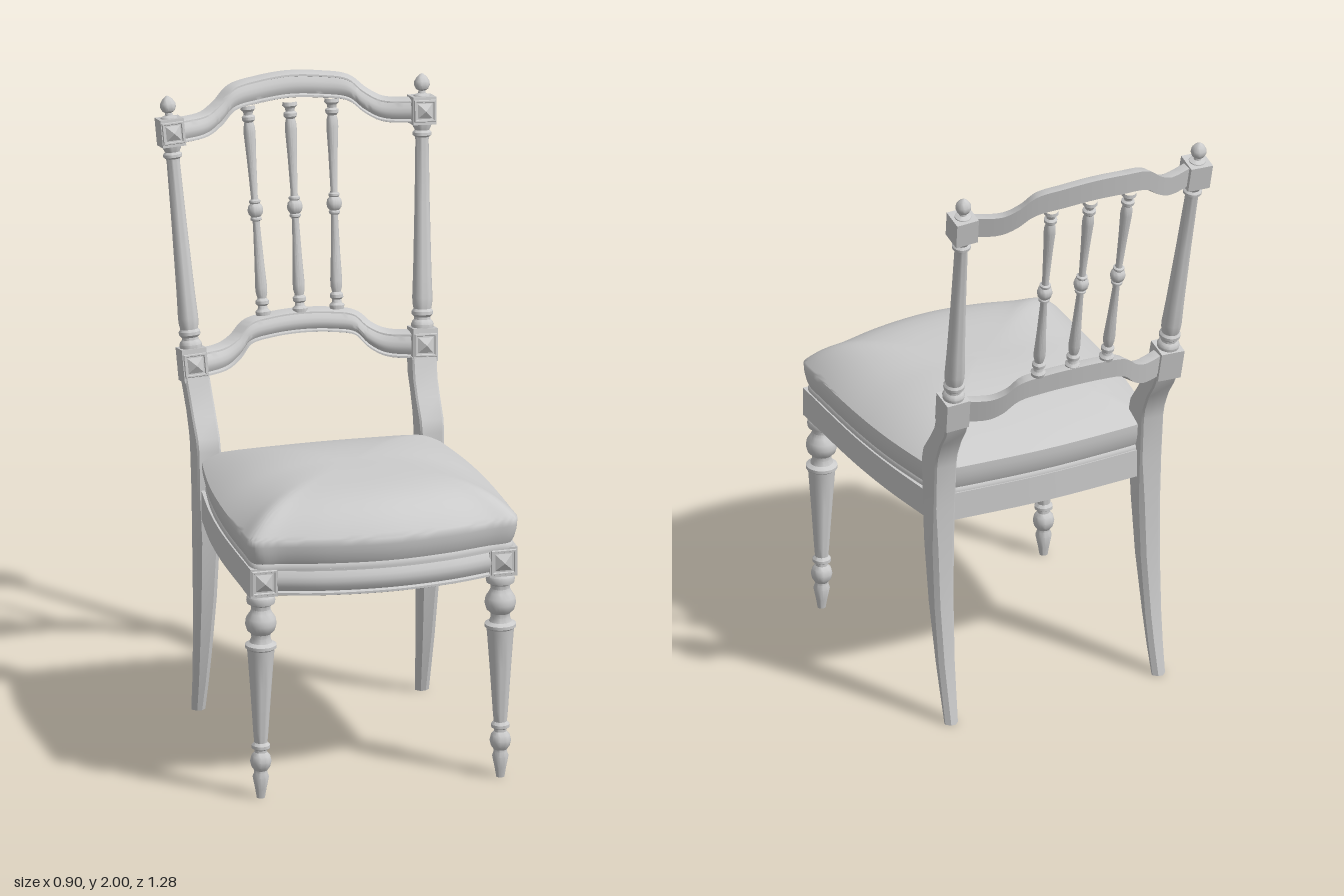
import * as THREE from 'three';
import { toCreasedNormals } from 'three/addons/utils/BufferGeometryUtils.js';

const V = (x, y, z) => new THREE.Vector3(x, y, z);

export function createModel() {
  const model = new THREE.Group();
  model.name = 'chair';
  const material = new THREE.MeshStandardMaterial({ color: 0xcccccc });

  function add(parent, name, geometry, crease = 0.6) {
    const mesh = new THREE.Mesh(toCreasedNormals(geometry, crease), material);
    mesh.name = name;
    parent.add(mesh);
    return mesh;
  }

  // Skin over a row of closed cross-sections, with both ends capped
  function loft(rings) {
    const pos = [];
    const tri = (...pts) => pts.forEach(p => pos.push(p.x, p.y, p.z));
    const n = rings[0].length;
    const mid = ring => ring.reduce((s, p) => s.add(p), V(0, 0, 0)).divideScalar(n);
    const first = rings[0], last = rings[rings.length - 1];
    const m0 = mid(first), m1 = mid(last);
    for (let j = 0; j < n; j++) {
      const k = (j + 1) % n;
      for (let i = 0; i < rings.length - 1; i++) {
        const a = rings[i], b = rings[i + 1];
        tri(a[j], a[k], b[k]);
        tri(a[j], b[k], b[j]);
      }
      tri(m0, first[k], first[j]);
      tri(m1, last[j], last[k]);
    }
    const g = new THREE.BufferGeometry();
    g.setAttribute('position', new THREE.Float32BufferAttribute(pos, 3));
    g.computeVertexNormals();
    return g;
  }

  // Rail sections as [height, depth] fractions, running top, front, bottom, back
  const plain = [[1, -1], [1, 1], [-1, 1], [-1, -1]];
  const moulded = [[1, -1], [1, 0.6], [0.93, 0.9], [0.78, 0.9], [0.7, 0.5], [0.35, 0.88], [0, 1],
    [-0.35, 0.88], [-0.7, 0.5], [-0.78, 0.9], [-0.93, 0.9], [-1, 0.6], [-1, -1]];

  // Sweep a rail section along points [x, y, z, halfHeight]
  function rail(path, section, halfDepth, tilt = 0, steps = 48) {
    const curve = new THREE.CatmullRomCurve3(path.map(p => V(p[0], p[1], p[2])), false, 'centripetal');
    const rings = [];
    for (let i = 0; i <= steps; i++) {
      const t = i / steps, p = curve.getPoint(t), d = curve.getTangent(t);
      d.y = 0;
      d.normalize();
      const f = t * (path.length - 1), k = Math.min(Math.floor(f), path.length - 2);
      const h = THREE.MathUtils.lerp(path[k][3], path[k + 1][3], f - k);
      rings.push(section.map(([v, w]) =>
        V(p.x - d.z * w * halfDepth, p.y + v * h, p.z + d.x * w * halfDepth - tilt * v * h)));
    }
    return loft(rings);
  }
  // Complete a half path that runs from the left end to the centre
  const mirrored = half => [...half.slice(0, -1).map(p => [-p[0], ...p.slice(1)]),
    ...half.slice().reverse()];

  const turned = (pts, sides = 24) =>
    new THREE.LatheGeometry(pts.map(([r, y]) => new THREE.Vector2(r, y)), sides);

  // Square block with a framed pyramid on its front face
  function block(parent, name, size, height, x, y, z) {
    const g = new THREE.Group();
    g.name = name;
    g.position.set(x, y, z);
    add(g, 'blockBody', new THREE.BoxGeometry(size, height, size));
    add(g, 'blockFrame', new THREE.TorusGeometry(size * 0.58, 0.006, 6, 4)
      .rotateZ(Math.PI / 4)).position.z = size / 2;
    add(g, 'blockPyramid', new THREE.ConeGeometry(size * 0.46, 0.018, 4)
      .rotateY(Math.PI / 4).rotateX(Math.PI / 2)).position.z = size / 2 + 0.008;
    parent.add(g);
  }

  // Group whose y axis runs from a towards b
  function axisGroup(name, a, b) {
    const g = new THREE.Group();
    g.name = name;
    g.position.copy(a);
    g.quaternion.setFromUnitVectors(V(0, 1, 0), b.clone().sub(a).normalize());
    model.add(g);
    return g;
  }

  // Seat cushion: domed loops shrinking towards the middle
  const half = [[0, 0.637], [0.2, 0.617], [0.35, 0.582], [0.42, 0.57], [0.437, 0.55], [0.44, 0.45],
    [0.437, 0.2], [0.422, 0], [0.39, -0.2], [0.375, -0.265], [0.35, -0.275], [0.2, -0.288], [0, -0.295]];
  const outline = new THREE.CatmullRomCurve3(
    [...half, ...half.slice(1, -1).reverse().map(([x, z]) => [-x, z])].map(([x, z]) => V(x, 0, z)),
    true, 'centripetal').getPoints(120).slice(0, -1);
  const cz = 0.17;
  const cushionRing = (s, y) => outline.map(p => {
    const n = (p.z - cz) / 0.465;
    const power = n > 0 ? 3 + 3 * n * n : 3 - n * n;
    return V(p.x * s, y ?? 0.87 + 0.106 * (1 - Math.pow(s, power)), cz + (p.z - cz) * s);
  });
  add(model, 'seatCushion', loft([
    cushionRing(0.955, 0.772), cushionRing(0.975, 0.774), cushionRing(0.975, 0.784),
    cushionRing(0.965, 0.79), cushionRing(0.98, 0.805), cushionRing(0.993, 0.83),
    cushionRing(0.999, 0.85),
    ...[1, 0.99, 0.975, 0.95, 0.92, 0.88, 0.83, 0.77, 0.7, 0.6, 0.48, 0.34, 0.2, 0.06].map(s => cushionRing(s))
  ]), 0.9);

  // Seat rails
  add(model, 'frontSeatRail', rail(mirrored([[0.37, 0.728, 0.528, 0.047], [0.2, 0.728, 0.574, 0.047],
    [0, 0.728, 0.593, 0.047]]), moulded, 0.027));
  add(model, 'backSeatRail', rail([[0.35, 0.728, -0.25, 0.047], [0, 0.728, -0.265, 0.047],
    [-0.35, 0.728, -0.25, 0.047]], plain, 0.022));
  const sidePath = [[0.41, 0.728, 0.5, 0.047], [0.407, 0.728, 0.2, 0.047], [0.393, 0.728, 0, 0.047],
    [0.362, 0.728, -0.23, 0.047]];

  // Turned profiles as [radius, height]
  const frontLegProfile = [[0, 0], [0.013, 0], [0.018, 0.03], [0.026, 0.07], [0.021, 0.085], [0.021, 0.092],
    [0.03, 0.105], [0.034, 0.122], [0.03, 0.14], [0.02, 0.152], [0.02, 0.16], [0.029, 0.166], [0.029, 0.176],
    [0.021, 0.185], [0.024, 0.22], [0.034, 0.37], [0.042, 0.48], [0.044, 0.497], [0.05, 0.502], [0.05, 0.512],
    [0.036, 0.52], [0.03, 0.535], [0.032, 0.548], [0.044, 0.56], [0.05, 0.58], [0.047, 0.6], [0.036, 0.617],
    [0.03, 0.63], [0.032, 0.643], [0.044, 0.65], [0.046, 0.66], [0.044, 0.672], [0.035, 0.682]];
  const postProfile = [[0.034, 0.1], [0.036, 0.115], [0.032, 0.124], [0.026, 0.13], [0.026, 0.138],
    [0.034, 0.146], [0.034, 0.156], [0.028, 0.164], [0.031, 0.18], [0.032, 0.2], [0.029, 0.28],
    [0.024, 0.5], [0.021, 0.7], [0.022, 0.71], [0.03, 0.716], [0.03, 0.725], [0.023, 0.732],
    [0.028, 0.742], [0.032, 0.755]];
  const finialProfile = [[0.028, 0.835], [0.026, 0.843], [0.012, 0.849], [0.011, 0.857], [0.02, 0.863],
    [0.025, 0.875], [0.024, 0.887], [0.016, 0.9], [0.007, 0.908], [0, 0.912]];
  const spindleHalf = [[0.022, 0], [0.024, 0.012], [0.016, 0.02], [0.014, 0.03], [0.021, 0.036],
    [0.021, 0.046], [0.014, 0.054], [0.018, 0.07], [0.019, 0.09], [0.015, 0.17], [0.011, 0.29],
    [0.012, 0.3], [0.018, 0.304], [0.018, 0.31], [0.015, 0.314], [0.022, 0.322], [0.025, 0.335]];
  const spindleProfile = [...spindleHalf, ...spindleHalf.slice(0, -1).reverse().map(([r, y]) => [r, 0.67 - y])];

  // Back leg sections: [height, front z, back z, inner x, outer x]
  const legSections = [[0, -0.328, -0.363, 0.342, 0.386], [0.1, -0.3, -0.343, 0.338, 0.388],
    [0.2, -0.276, -0.326, 0.335, 0.391], [0.4, -0.237, -0.306, 0.329, 0.396], [0.6, -0.214, -0.3, 0.325, 0.4],
    [0.75, -0.21, -0.3, 0.325, 0.4], [0.9, -0.21, -0.31, 0.325, 0.402], [0.94, -0.222, -0.319, 0.325, 0.403],
    [1.0, -0.268, -0.347, 0.325, 0.404], [1.05, -0.303, -0.382, 0.326, 0.405], [1.11, -0.33, -0.408, 0.33, 0.41]];

  for (const side of [1, -1]) {
    const label = side > 0 ? 'left' : 'right';

    const path = sidePath.map(([x, ...rest]) => [x * side, ...rest]);
    add(model, label + 'SeatRail', rail(side > 0 ? path : path.reverse(), plain, 0.025));

    // Front leg and its corner block
    add(model, label + 'FrontLeg', turned(frontLegProfile)).position.set(side * 0.39, 0, 0.518);
    block(model, label + 'FrontBlock', 0.09, 0.096, side * 0.39, 0.728, 0.515);

    // Sabre back leg with chamfered corners
    add(model, label + 'BackLeg', loft(legSections.map(([y, zf, zb, xi, xo]) => {
      const x = side * (xi + xo) / 2, z = (zf + zb) / 2, a = (xo - xi) / 2, b = (zf - zb) / 2;
      const c = y < 0.7 ? 0.014 : 0.006;
      return [[a - c, b], [a, b - c], [a, c - b], [a - c, -b], [c - a, -b], [-a, c - b], [-a, b - c], [c - a, b]]
        .map(([dx, dz]) => V(x + dx, y, z + dz));
    })));

    // Leaning back post
    const post = axisGroup(label + 'BackPost', V(side * 0.372, 1.09, -0.368), V(side * 0.412, 1.92, -0.525));
    block(post, 'lowerBlock', 0.08, 0.105, 0, 0.052, 0);
    add(post, 'turnedPost', turned(postProfile));
    block(post, 'upperBlock', 0.076, 0.088, 0, 0.796, 0);
    add(post, 'finial', turned(finialProfile));
  }

  // Arched rails of the backrest
  add(model, 'topRail', rail(mirrored([[0.39, 1.872, -0.512, 0.036], [0.29, 1.873, -0.55, 0.035],
    [0.24, 1.898, -0.571, 0.036], [0.19, 1.938, -0.59, 0.037], [0.1, 1.953, -0.605, 0.038],
    [0, 1.96, -0.611, 0.038]]), moulded, 0.02, 0.2, 60));
  add(model, 'lowerBackRail', rail(mirrored([[0.36, 1.14, -0.372, 0.04], [0.265, 1.142, -0.413, 0.038],
    [0.22, 1.163, -0.432, 0.036], [0.175, 1.203, -0.45, 0.034], [0.1, 1.217, -0.46, 0.034],
    [0, 1.222, -0.465, 0.034]]), moulded, 0.023, 0.2, 60));

  // Three turned spindles, fanning out slightly
  for (const i of [-1, 0, 1]) {
    const g = axisGroup('spindle', V(i * 0.12, 1.25, -0.468), V(i * 0.137, 1.912, -0.598));
    add(g, 'turnedSpindle', turned(spindleProfile, 18));
  }

  return model;
}
